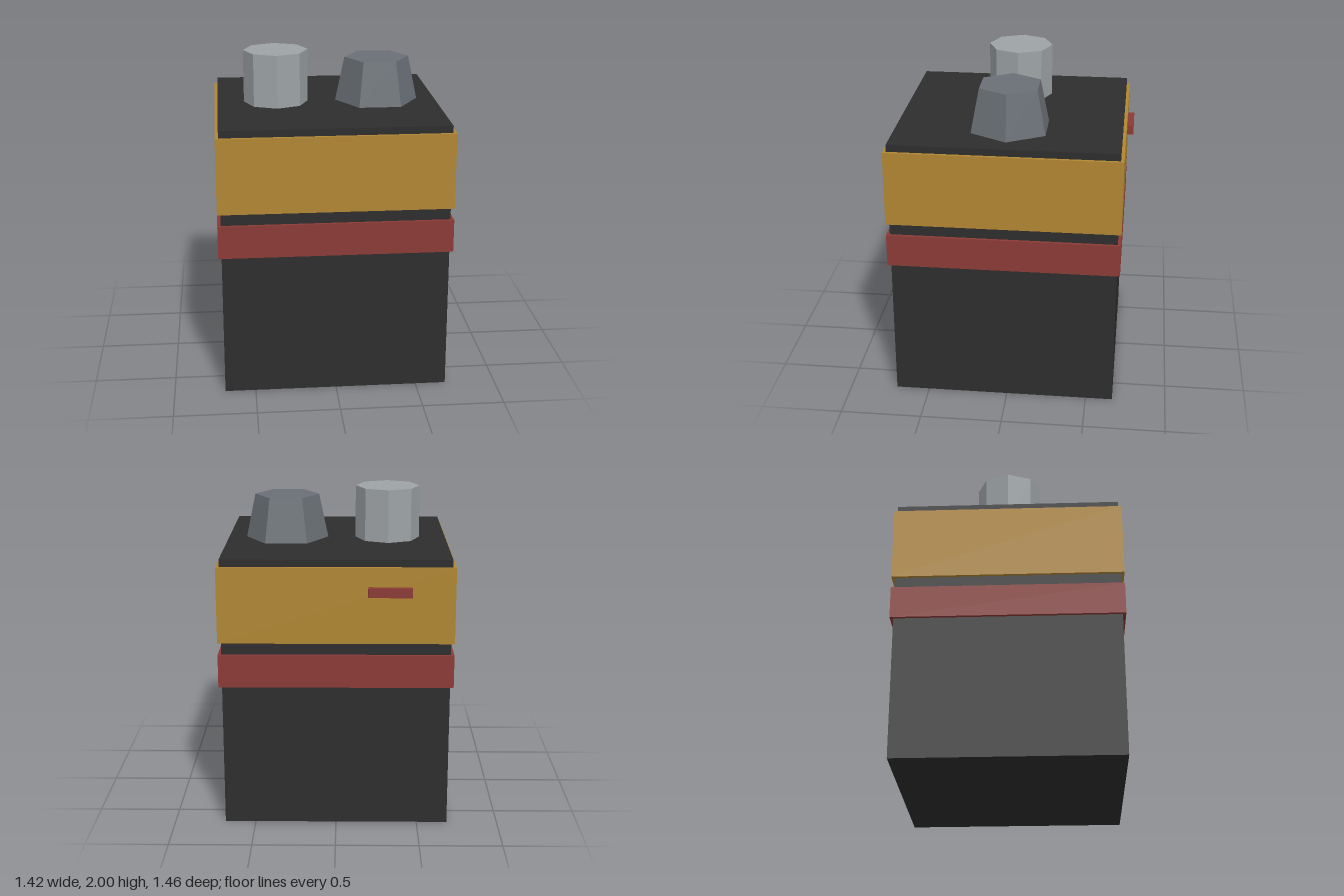
import * as THREE from 'three';

const mat = (name, color) => {
  const m = new THREE.MeshStandardMaterial({ color });
  m.name = name;
  return m;
};

export function createModel() {
  const black = mat('black casing', 0x2d2d2d);
  const gold = mat('gold band', 0xb08633);
  const red = mat('red trim', 0x8a3a35);
  const lightGrey = mat('light terminal metal', 0x9da3a6);
  const darkGrey = mat('dark terminal metal', 0x6a7076);

  const group = new THREE.Group();
  group.name = 'battery';
  const centreZ = 0.02;

  const add = (name, geometry, material, x, y, z) => {
    const mesh = new THREE.Mesh(geometry, material);
    mesh.name = name;
    mesh.position.set(x, y, z);
    group.add(mesh);
  };
  // Box standing on y0 and reaching y1
  const box = (name, material, w, d, y0, y1, x = 0, z = centreZ) =>
    add(name, new THREE.BoxGeometry(w, y1 - y0, d), material, x, (y0 + y1) / 2, z);
  // Faceted terminal post on top of the casing
  const post = (name, material, sides, rTop, rBottom, turn, x, y0, y1) =>
    add(name, new THREE.CylinderGeometry(rTop, rBottom, y1 - y0, sides, 1, false, turn).toNonIndexed(),
      material, x, (y0 + y1) / 2, 0.015);

  // Casing with two raised bands
  box('casing', black, 1.376, 1.376, 0, 1.67);
  box('lowerBand', red, 1.416, 1.416, 0.888, 1.09);
  box('upperBand', gold, 1.416, 1.416, 1.163, 1.627);

  // Small tab on the back
  box('backTab', red, 0.26, 0.06, 1.455, 1.511, -0.32, -0.698);

  // Terminals: straight octagon and tapered hexagon
  post('octagonTerminal', lightGrey, 8, 0.202, 0.202, 0, -0.32, 1.66, 2);
  post('hexagonTerminal', darkGrey, 6, 0.202, 0.26, Math.PI / 6, 0.316, 1.67, 1.945);

  // Crisp facets on the terminals
  group.children.filter((m) => m.name.endsWith('Terminal')).forEach((m) => m.geometry.computeVertexNormals());
  return group;
}
